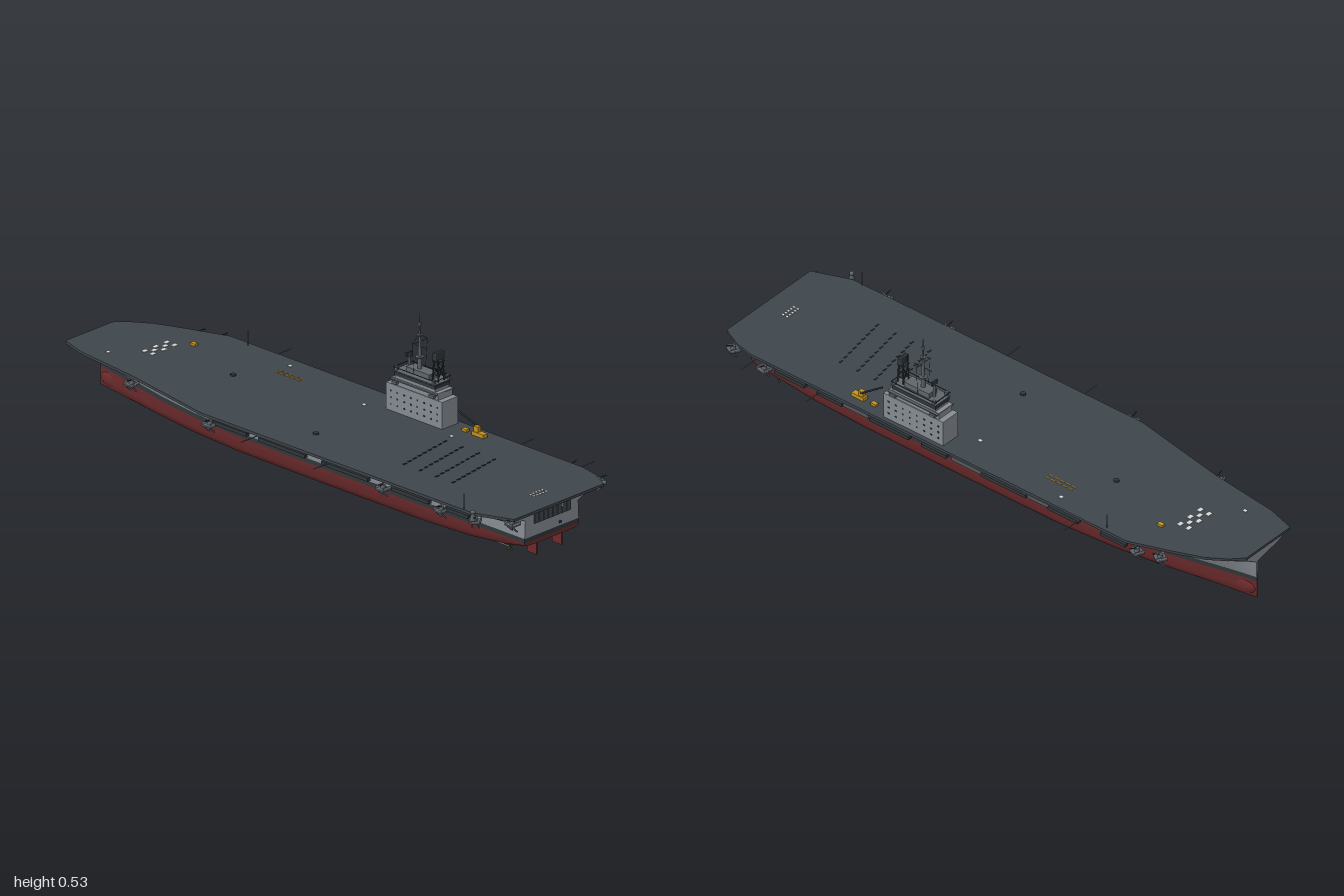
import * as THREE from 'three';
import { toCreasedNormals } from 'three/addons/utils/BufferGeometryUtils.js';

const mat = (name, color, side = THREE.FrontSide) => {
  const m = new THREE.MeshStandardMaterial({ color, side });
  m.name = name;
  return m;
};

export function createModel() {
  const ship = new THREE.Group();
  ship.name = 'carrierShip';
  const grey = mat('hullGrey', 0x868c93, THREE.DoubleSide);
  const red = mat('bottomRed', 0x6a2a2b, THREE.DoubleSide);
  const deckMat = mat('deckGrey', 0x3e454b);
  const dark = mat('darkGrey', 0x30363a, THREE.DoubleSide);
  const mid = mat('fittingGrey', 0x5f666c);
  const yellow = mat('vehicleYellow', 0xc4921c);
  const white = mat('markingWhite', 0xd8d9d4);
  const bronze = mat('propellerBronze', 0x5a5030);

  const add = (name, geo, m, x = 0, y = 0, z = 0, parent = ship) => {
    const mesh = new THREE.Mesh(geo, m);
    mesh.name = name;
    mesh.position.set(x, y, z);
    parent.add(mesh);
    return mesh;
  };
  const box = (name, m, w, h, d, x, y, z, parent) => add(name, new THREE.BoxGeometry(w, h, d), m, x, y, z, parent);
  const cyl = (name, m, r0, r1, h, x, y, z, parent, n = 10) => add(name, new THREE.CylinderGeometry(r1, r0, h, n), m, x, y, z, parent);
  const rod = (name, m, a, b, r, parent) => {
    const p = new THREE.Vector3(...a), q = new THREE.Vector3(...b), d = q.clone().sub(p);
    const mesh = add(name, new THREE.CylinderGeometry(r, r, d.length(), 6), m, 0, 0, 0, parent);
    mesh.position.copy(p).add(q).multiplyScalar(0.5);
    mesh.quaternion.setFromUnitVectors(new THREE.Vector3(0, 1, 0), d.normalize());
    return mesh;
  };

  // Hull stations: z, keel height, waterline half width, knuckle half width, deck edges
  const CX = 0.02;
  const stations = [
    [0.94, 0.052, 0.12, 0.117, -0.22, 0.22], [0.85, 0.03, 0.12, 0.118, -0.24, 0.24],
    [0.7, 0.01, 0.12, 0.12, -0.245, 0.245], [0.5, 0.001, 0.12, 0.12, -0.247, 0.245],
    [0.1, 0, 0.12, 0.12, -0.25, 0.245], [-0.3, 0, 0.117, 0.12, -0.245, 0.245],
    [-0.5, 0, 0.1, 0.112, -0.212, 0.245], [-0.66, 0, 0.075, 0.095, -0.183, 0.24],
    [-0.8, 0, 0.045, 0.068, -0.167, 0.192], [-0.9, 0, 0.021, 0.04, -0.155, 0.152],
    [-0.96, 0, 0.008, 0.017, -0.138, 0.108], [-0.993, 0.003, 0.002, 0.004, -0.126, 0.076]];
  const section = ([z, k, h, hk, xl, xr], s) => {
    const edge = s > 0 ? xr : xl, kx = CX + s * hk, up = 0.065 - k;
    return [[CX, k], [CX + s * h * 0.7, k + 0.03 * up], [CX + s * h * 0.9, k + 0.15 * up],
      [CX + s * h * 0.99, k + 0.45 * up], [CX + s * h, 0.065], [CX + s * h, 0.08], [kx, 0.14],
      [kx + (edge - kx) * 0.72, 0.163], [edge, 0.182]].map(([x, y]) => [x, y, z]);
  };
  const loft = (name, m, from, to, crease) => {
    for (const s of [1, -1]) {
      const pos = [], idx = [], n = to - from + 1;
      stations.forEach((st) => section(st, s).slice(from, to + 1).forEach((p) => pos.push(...p)));
      for (let i = 0; i < stations.length - 1; i++) for (let j = 0; j < n - 1; j++) {
        const a = i * n + j, b = a + 1, c = a + n, d = c + 1;
        idx.push(...(s > 0 ? [a, c, b, b, c, d] : [a, b, c, b, d, c]));
      }
      const g = new THREE.BufferGeometry();
      g.setAttribute('position', new THREE.Float32BufferAttribute(pos, 3));
      g.setIndex(idx);
      g.computeVertexNormals();
      add(name, toCreasedNormals(g, crease), m);
    }
    // Closing faces at the stern and the stem
    [stations[0], stations[stations.length - 1]].forEach((st, i) => {
      const R = section(st, 1).slice(from, to + 1), L = section(st, -1).slice(from, to + 1).reverse();
      const g = new THREE.ShapeGeometry(new THREE.Shape([...R, ...L].map((p) => new THREE.Vector2(p[0], p[1]))));
      if (i) g.setIndex([...g.index.array].reverse()), g.computeVertexNormals();
      add(i ? name + 'Stem' : name + 'Transom', g, m, 0, 0, st[0]);
    });
  };
  loft('hullBottom', red, 0, 4, 0.9);
  loft('waterlineBand', dark, 4, 5, 0.5);
  loft('hullSide', grey, 5, 8, 0.4);
  const bulb = add('bowBulb', new THREE.SphereGeometry(1, 16, 10), red, CX, 0.032, -0.935);
  bulb.scale.set(0.017, 0.03, 0.055);

  // Flight deck
  const outline = [[-0.13, -1], [0.08, -1], [0.12, -0.96], [0.16, -0.9], [0.2, -0.8], [0.25, -0.66], [0.25, 0.85],
    [0.235, 0.92], [0.2, 0.99], [-0.2, 0.99], [-0.25, 0.86], [-0.255, -0.3], [-0.19, -0.65], [-0.16, -0.9]];
  const deck = new THREE.ExtrudeGeometry(new THREE.Shape(outline.map(([x, z]) => new THREE.Vector2(x, -z))),
    { depth: 0.009, bevelEnabled: false });
  deck.rotateX(-Math.PI / 2);
  add('flightDeck', deck, deckMat, 0, 0.181, 0);

  // Side sponsons and catwalks
  const wedge = [[0.13, 0.135], [0.17, 0.138], [0.247, 0.163], [0.252, 0.181], [0.13, 0.181]];
  for (const [z, d] of [[0.44, 0.12], [-0.02, 0.13], [-0.3, 0.11]]) {
    const g = new THREE.ExtrudeGeometry(new THREE.Shape(wedge.map((p) => new THREE.Vector2(...p))), { depth: d, bevelEnabled: false });
    add('sideSponson', g, mid, 0, 0, z - d / 2);
  }
  for (const [z, d] of [[-0.61, 0.1], [-0.41, 0.12], [-0.17, 0.18], [0.11, 0.1], [0.29, 0.16], [0.53, 0.1], [0.69, 0.12]])
    box('catwalk', dark, 0.016, 0.012, d, 0.25, 0.174, z);
  for (const [z, d] of [[-0.18, 0.16], [0.05, 0.2], [0.32, 0.2], [0.6, 0.16], [0.8, 0.1]])
    box('catwalk', dark, 0.014, 0.012, d, -0.252, 0.174, z);

  // Edge gun platforms with struts
  for (const [x, z, a] of [[-0.198, -0.65, 0.2], [-0.265, -0.25, 0.1], [-0.262, 0.49, 0], [-0.262, 0.74, 0], [-0.252, 0.875, 0.6],
    [-0.19, 0.975, 0], [0.225, -0.775, 0.6], [0.247, -0.7, 0.4], [0.258, 0.79, 0.1], [0.24, 0.93, 0.5]]) {
    const p = new THREE.Group(), s = Math.sign(x);
    p.name = 'gunPlatform';
    p.position.set(x, 0.166, z);
    p.rotation.y = -s * a;
    ship.add(p);
    box('platformFloor', mid, 0.036, 0.005, 0.036, 0, 0, 0, p);
    for (const e of [-1, 1]) box('platformRail', grey, 0.036, 0.008, 0.002, 0, 0.007, e * 0.017, p);
    cyl('gunMount', mid, 0.009, 0.007, 0.012, 0, 0.009, 0, p);
    rod('gunBarrel', dark, [0, 0.014, 0], [s * 0.024, 0.02, 0], 0.002, p);
    for (const e of [-1, 1]) rod('strut', mid, [s * 0.014, -0.002, e * 0.01], [-s * 0.01, -0.024, e * 0.01], 0.003, p);
  }
  const dome = add('pointDefenceDome', new THREE.SphereGeometry(0.008, 10, 8), mid, -0.262, 0.2, 0.875);
  dome.scale.y = 0.8;
  cyl('domePedestal', mid, 0.01, 0.006, 0.024, -0.262, 0.184, 0.875);

  // Whip aerials and deck masts
  for (const [s, z] of [[1, -0.47], [1, 0.57], [1, 0.83], [-1, -0.06], [-1, 0.25]])
    rod('whipAerial', mid, [s * 0.25, 0.18, z], [s * 0.323, 0.181, z], 0.0018);
  for (const [x, z] of [[-0.245, 0.82], [0.235, -0.57]]) rod('deckMast', mid, [x, 0.17, z], [x, 0.24, z], 0.0015);

  // Stern shutters, ladder, hatch
  for (let i = 0; i < 8; i++) box('sternShutter', deckMat, 0.0175, 0.042, 0.004, -0.049 + i * 0.0202, 0.141, 0.9415);
  for (let i = 0; i < 8; i++) box('ladderRung', white, 0.005, 0.002, 0.004, 0.062, 0.145 + i * 0.005, 0.946);
  cyl('sternHatch', dark, 0.005, 0.005, 0.004, 0.056, 0.093, 0.942).rotation.x = Math.PI / 2;

  // Rudders, shafts and propellers
  for (const x of [-0.035, 0.075]) box('rudder', red, 0.005, 0.05, 0.04, x, 0.032, 0.91);
  for (const x of [-0.07, -0.025, 0.065, 0.11]) {
    rod('propellerShaft', mid, [x, 0.02, 0.85], [x, 0.022, 0.66], 0.003);
    const prop = new THREE.Group();
    prop.name = 'propeller';
    prop.position.set(x, 0.02, 0.85);
    ship.add(prop);
    cyl('hub', bronze, 0.004, 0.002, 0.012, 0, 0, 0, prop).rotation.x = Math.PI / 2;
    for (let i = 0; i < 4; i++) {
      const b = box('blade', bronze, 0.006, 0.013, 0.002, 0, 0, 0, prop), t = i * Math.PI / 2 + 0.4;
      b.position.set(-Math.sin(t) * 0.007, Math.cos(t) * 0.007, 0);
      b.rotation.set(0, 0.5, t, 'ZYX');
    }
  }

  // Island superstructure
  const isl = new THREE.Group();
  isl.name = 'island';
  isl.position.set(0.2, 0, 0.21);
  ship.add(isl);
  box('islandBlock', grey, 0.07, 0.09, 0.24, 0, 0.235, 0, isl);
  box('islandUpper', grey, 0.064, 0.025, 0.2, 0, 0.29, 0, isl);
  box('islandGallery', mid, 0.08, 0.004, 0.2, 0, 0.299, 0, isl);
  box('bridge', grey, 0.062, 0.028, 0.17, 0, 0.314, 0, isl);
  box('bridgeWindows', dark, 0.068, 0.012, 0.175, 0, 0.318, 0, isl);
  box('bridgeRoof', mid, 0.074, 0.003, 0.18, 0, 0.328, 0, isl);
  for (const s of [-1, 1]) {
    for (let r = 0; r < 3; r++) for (let i = 0; i < 8; i++)
      box('porthole', dark, 0.002, 0.005, 0.006, s * 0.035, 0.212 + r * 0.022, -0.1 + i * 0.0285, isl);
    for (const z of [-0.08, 0.08]) {
      box('wingStation', mid, 0.012, 0.008, 0.02, s * 0.037, 0.29, z, isl);
      box('searchlight', mid, 0.008, 0.012, 0.01, s * 0.03, 0.336, z, isl);
    }
    for (const z of [-0.088, 0.088]) box('roofRail', dark, 0.072, 0.002, 0.002, 0, 0.34, z, isl);
    box('roofRail', dark, 0.002, 0.002, 0.178, s * 0.036, 0.34, 0, isl);
  }
  box('deckHouse', mid, 0.04, 0.018, 0.1, 0, 0.338, 0, isl);

  // Lattice tower with the radar
  for (const x of [-1, 1]) for (const z of [-1, 1]) {
    rod('towerLeg', dark, [x * 0.013, 0.33, 0.07 + z * 0.012], [x * 0.01, 0.4, 0.07 + z * 0.009], 0.0025, isl);
    rod('towerBrace', dark, [x * 0.012, 0.34, 0.07 + z * 0.012], [-x * 0.011, 0.385, 0.07 + z * 0.01], 0.0018, isl);
  }
  for (const y of [0.352, 0.374, 0.395]) box('towerPlatform', dark, 0.03, 0.003, 0.026, 0, y, 0.07, isl);
  box('radarArray', dark, 0.038, 0.024, 0.012, 0, 0.412, 0.07, isl);
  for (let i = 0; i < 5; i++) box('radarRib', mid, 0.002, 0.026, 0.016, -0.017 + i * 0.0085, 0.412, 0.07, isl);

  // Main mast
  cyl('mainMast', mid, 0.008, 0.003, 0.14, 0, 0.4, -0.01, isl);
  cyl('topMast', mid, 0.0025, 0.001, 0.06, 0, 0.499, -0.01, isl);
  box('yardArm', mid, 0.07, 0.002, 0.002, 0, 0.436, -0.01, isl);
  box('yardArm', mid, 0.002, 0.002, 0.07, 0, 0.42, -0.01, isl);
  cyl('mastPlatform', mid, 0.009, 0.01, 0.004, 0, 0.458, -0.01, isl);
  cyl('mastBeacon', mid, 0.005, 0.005, 0.008, 0, 0.495, -0.01, isl);
  cyl('mastTop', mid, 0.014, 0.014, 0.003, 0, 0.385, -0.01, isl);
  for (const s of [-1, 1]) {
    rod('stay', dark, [s * 0.034, 0.436, -0.01], [s * 0.003, 0.46, -0.01], 0.0008, isl);
    rod('halyard', dark, [s * 0.034, 0.436, -0.01], [s * 0.025, 0.33, -0.01], 0.0006, isl);
  }
  cyl('aftMast', mid, 0.005, 0.003, 0.06, 0, 0.36, -0.055, isl);
  box('aftRadar', dark, 0.026, 0.014, 0.006, 0, 0.382, -0.055, isl);

  // Yellow crane truck and deck tractors
  box('craneBody', yellow, 0.02, 0.012, 0.05, 0.207, 0.197, 0.45);
  box('craneCab', yellow, 0.014, 0.018, 0.018, 0.207, 0.212, 0.44);
  rod('craneBoom', dark, [0.215, 0.215, 0.44], [0.192, 0.258, 0.37], 0.003);
  for (const [x, z] of [[0.207, 0.39], [0.12, -0.69]]) box('deckTractor', yellow, 0.014, 0.008, 0.02, x, 0.194, z);

  // Deck markings and fittings
  const plate = (name, m, w, d, x, z) => box(name, m, w, 0.002, d, x, 0.1905, z);
  for (const x of [0.14, 0.155]) for (let i = 0; i < 5; i++) plate('yellowDash', yellow, 0.003, 0.016, x, -0.355 + i * 0.023);
  for (let i = 0; i < 5; i++) for (let j = 0; j < 3; j++) if ((i + j) % 2 === 0)
    plate('bowMarking', white, 0.018, 0.013, -0.02 + i * 0.024, -0.765 + j * 0.017);
  for (let i = 0; i < 5; i++) for (let j = 0; j < 2; j++) plate('sternMarking', white, 0.006, 0.008, -0.022 + i * 0.013, 0.89 + j * 0.016);
  for (const [x, z] of [[-0.105, -0.84], [0.205, -0.36], [0.14, 0.02], [0.145, 0.39]]) plate('deckSpot', white, 0.01, 0.012, x, z);
  for (let r = 0; r < 4; r++) for (let i = 0; i < 9; i++)
    box('deckStowage', dark, 0.014, 0.003, 0.005, -0.115 + i * 0.027, 0.191, 0.44 + r * 0.07 - i * 0.0045);
  for (const [x, z] of [[0.03, -0.435], [-0.13, 0.075]]) cyl('deckHatch', dark, 0.01, 0.009, 0.006, x, 0.192, z, ship, 12);
  return ship;
}
